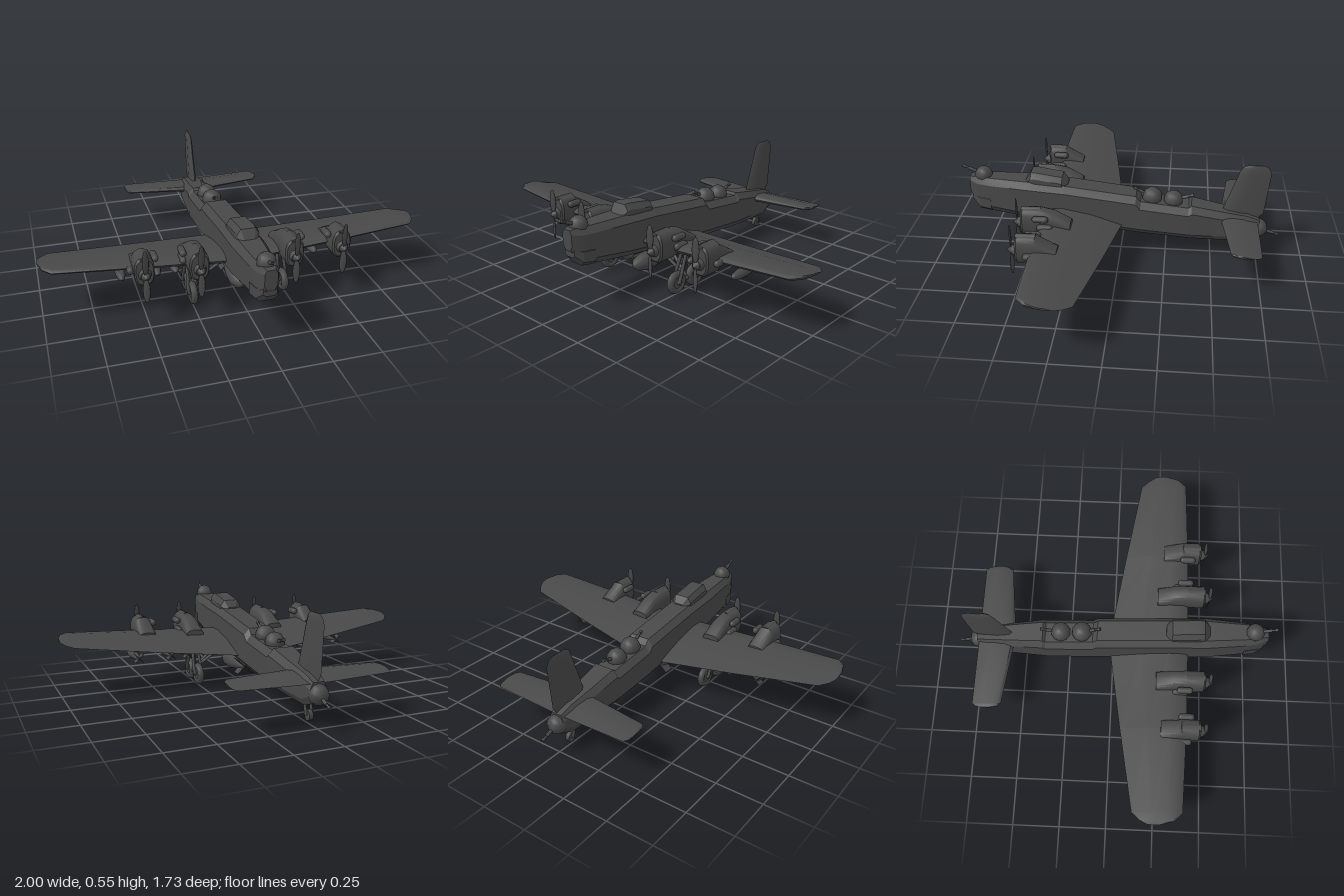
import * as THREE from 'three';
import { toCreasedNormals } from 'three/addons/utils/BufferGeometryUtils.js';

const paint = new THREE.MeshStandardMaterial({ color: 0x484848 });

export function createModel() {
  const model = new THREE.Group();

  function add(name, geometry, x = 0, y = 0, z = 0, parent = model) {
    const mesh = new THREE.Mesh(geometry, paint);
    mesh.name = name;
    mesh.position.set(x, y, z);
    parent.add(mesh);
    return mesh;
  }

  function addGroup(name, x = 0, y = 0, z = 0) {
    const group = new THREE.Group();
    group.name = name;
    group.position.set(x, y, z);
    model.add(group);
    return group;
  }

  // Skin through closed rings of equal length, capped at both ends
  function loft(rings, crease) {
    const n = rings[0].length, index = [];
    for (let r = 0; r < rings.length - 1; r++) {
      for (let i = 0; i < n; i++) {
        const a = r * n + i, b = r * n + (i + 1) % n;
        index.push(a, b, b + n, a, b + n, a + n);
      }
    }
    const last = (rings.length - 1) * n;
    for (let i = 1; i < n - 1; i++) {
      index.push(0, i + 1, i, last, last + i, last + i + 1);
    }
    const g = new THREE.BufferGeometry();
    g.setAttribute('position', new THREE.Float32BufferAttribute(rings.flat(2), 3));
    g.setIndex(index);
    return toCreasedNormals(g, crease);
  }

  // Chamfered cross-section facing +z
  function bodyRing([z, w, top, bottom, c = 0.035]) {
    const k = w * 0.65;
    return [[w, bottom + c, z], [w, top - c, z], [k, top, z], [-k, top, z],
      [-w, top - c, z], [-w, bottom + c, z], [-k, bottom, z], [k, bottom, z]];
  }
  const body = (sections) => loft(sections.map(bodyRing), 0.3);

  // Rounded cross-section facing +z, for the engine nacelles
  function roundRing([z, w, top, bottom]) {
    const soft = (v) => Math.sign(v) * Math.abs(v) ** 0.75;
    return Array.from({ length: 16 }, (_, i) => {
      const a = (i + 0.5) / 16 * Math.PI * 2;
      return [w * soft(Math.cos(a)), (top + bottom) / 2 + (top - bottom) / 2 * soft(Math.sin(a)), z];
    });
  }

  // Aerofoil cross-section facing +x
  function foilRing([x, front, back, yFront, yBack, t]) {
    const at = (f, h) => [x, THREE.MathUtils.lerp(yBack, yFront, f) + h * t, THREE.MathUtils.lerp(back, front, f)];
    return [at(0, 0), at(0.4, 0.4), at(0.75, 0.5), at(0.93, 0.33), at(1, 0),
      at(0.93, -0.33), at(0.75, -0.5), at(0.4, -0.4)];
  }
  function foil(half) {
    const other = half.map(([x, ...rest]) => [-x, ...rest]).reverse();
    return loft([...other, ...half].map(foilRing), 0.6);
  }

  // Round bar between two points
  function rod(name, a, b, r, parent = model) {
    const p = new THREE.Vector3(...a), q = new THREE.Vector3(...b);
    const d = q.clone().sub(p);
    const mesh = add(name, new THREE.CylinderGeometry(r, r, d.length(), 8), 0, 0, 0, parent);
    mesh.position.copy(p).addScaledVector(d, 0.5);
    mesh.quaternion.setFromUnitVectors(new THREE.Vector3(0, 1, 0), d.normalize());
  }

  // Fuselage with a sunken turret deck, chin window and canopy
  add('fuselage', body([
    [-0.755, 0.045, 0.23, 0.13], [-0.69, 0.058, 0.258, 0.104], [-0.55, 0.07, 0.283, 0.108],
    [-0.385, 0.083, 0.315, 0.115], [-0.37, 0.085, 0.303, 0.117], [-0.11, 0.085, 0.33, 0.137],
    [-0.085, 0.085, 0.36, 0.14], [0.3, 0.085, 0.405, 0.18], [0.5, 0.085, 0.42, 0.205],
    [0.7, 0.066, 0.427, 0.23], [0.775, 0.054, 0.43, 0.245], [0.825, 0.032, 0.425, 0.325, 0.02],
  ]));
  add('chinWindow', body([[0.71, 0.067, 0.328, 0.23, 0.02], [0.775, 0.056, 0.333, 0.238, 0.02],
    [0.815, 0.034, 0.335, 0.285, 0.012]]));
  add('canopy', body([[0.285, 0.035, 0.41, 0.37, 0.015], [0.315, 0.06, 0.448, 0.37, 0.03],
    [0.46, 0.06, 0.47, 0.37, 0.03], [0.485, 0.057, 0.467, 0.37, 0.03], [0.515, 0.04, 0.42, 0.37, 0.015]]));

  // Wing and tailplane
  add('wing', foil([
    [0.06, 0.412, -0.015, 0.26, 0.195, 0.075], [0.5, 0.405, 0.055, 0.288, 0.238, 0.055],
    [0.94, 0.388, 0.13, 0.314, 0.287, 0.038], [0.98, 0.345, 0.175, 0.315, 0.295, 0.026],
    [1, 0.275, 0.215, 0.314, 0.306, 0.01],
  ]));
  add('tailplane', foil([
    [0.04, -0.545, -0.745, 0.235, 0.22, 0.045], [0.395, -0.588, -0.744, 0.24, 0.23, 0.025],
    [0.41, -0.61, -0.725, 0.24, 0.232, 0.018], [0.416, -0.64, -0.695, 0.24, 0.236, 0.008],
  ]));

  // Fin, stacked upward from sections: height, front, back, half thickness
  const finRing = ([y, front, back, t]) => [[0, y, front], [t * 0.8, y, front - 0.02],
    [t, y, front * 0.6 + back * 0.4], [0, y, back],
    [-t, y, front * 0.6 + back * 0.4], [-t * 0.8, y, front - 0.02]];
  add('fin', loft([[0.225, -0.535, -0.745, 0.016], [0.265, -0.55, -0.775, 0.016], [0.5, -0.628, -0.797, 0.012],
    [0.533, -0.642, -0.782, 0.009], [0.547, -0.675, -0.755, 0.003]].map(finRing), 0.6));

  // Gun turrets: dome at (y, z), gun ending at the given (y, z)
  function turret(name, y, z, r, gunY, gunZ) {
    const g = addGroup(name);
    const along = (f) => [0, THREE.MathUtils.lerp(y, gunY, f), THREE.MathUtils.lerp(z, gunZ, f)];
    add('turretDome', new THREE.SphereGeometry(r, 10, 8), 0, y, z, g);
    rod('gunBarrel', along(0), along(1), 0.006, g);
    rod('gunJacket', along(0), along(0.72), 0.009, g);
    rod('gunMuzzle', along(0.88), along(1), 0.009, g);
  }
  turret('noseTurret', 0.43, 0.752, 0.048, 0.48, 0.865);
  turret('forwardDorsalTurret', 0.335, -0.17, 0.055, 0.387, -0.07);
  turret('rearDorsalTurret', 0.322, -0.285, 0.053, 0.355, -0.395);
  turret('tailTurret', 0.17, -0.752, 0.052, 0.132, -0.862);

  // Bomb with crossed tail fins; length runs along z
  function bomb(name, x, y, z, r, length, hangerTop) {
    const g = addGroup(name, x, y, z);
    const profile = [[0, -0.5], [0.35, -0.48], [0.75, -0.2], [1, 0.05], [1, 0.25], [0.7, 0.42], [0.3, 0.49], [0, 0.5]]
      .map(([a, b]) => new THREE.Vector2(a * r, b * length));
    add('bombBody', new THREE.LatheGeometry(profile, 12).rotateX(Math.PI / 2), 0, 0, 0, g);
    for (const turn of [Math.PI / 4, -Math.PI / 4]) {
      add('bombFin', new THREE.BoxGeometry(r * 2.5, 0.004, length * 0.2), 0, 0, -length * 0.43, g).rotation.z = turn;
    }
    add('bombHanger', new THREE.BoxGeometry(r * 0.4, hangerTop - y, length * 0.3), 0, (hangerTop - y) / 2, 0, g);
  }
  bomb('bellyBomb', 0, 0.1, 0.255, 0.048, 0.29, 0.19);

  // Engine with cowling, spinner, two-bladed propeller and side pods
  function engine(x, back, front, pods, side) {
    const g = addGroup('engine', x * side);
    add('nacelle', loft([[back, 0.05, 0.305, 0.25], [back + 0.09, 0.05, 0.36, 0.235], [front - 0.1, 0.05, 0.376, 0.222],
      [front - 0.01, 0.05, 0.375, 0.222], [front, 0.043, 0.365, 0.232]].map(roundRing), 0.6), 0, 0, 0, g);
    add('gearbox', new THREE.CylinderGeometry(0.026, 0.034, 0.025, 12).rotateX(Math.PI / 2), 0, 0.287, front + 0.008, g);
    add('spinner', new THREE.ConeGeometry(0.024, 0.03, 12).rotateX(Math.PI / 2), 0, 0.287, front + 0.033, g);
    for (const s of [1, -1]) {
      const blade = add('propellerBlade', new THREE.SphereGeometry(1, 10, 8).scale(0.019, 0.066, 0.006),
        0, 0.287 + s * 0.076, front + 0.025, g);
      blade.rotation.y = s * 0.35;
    }
    add('airIntake', new THREE.CylinderGeometry(0.022, 0.022, 0.1, 10).rotateX(Math.PI / 2), 0, 0.358, front - 0.052, g);
    for (const [dx, y, z] of pods) {
      add('sidePod', new THREE.CapsuleGeometry(0.018, 0.05, 4, 10).rotateX(Math.PI / 2), dx * side, y, z, g);
    }
  }

  // Main gear: two wheels in line, V struts and braces to the fuselage
  function mainGear(side) {
    const g = addGroup('mainGear');
    const x = 0.245 * side;
    for (const z of [0.34, 0.2]) {
      add('wheelHub', new THREE.CylinderGeometry(0.044, 0.044, 0.026, 16).rotateZ(Math.PI / 2), x, 0.062, z, g);
      add('tyre', new THREE.TorusGeometry(0.043, 0.019, 8, 18).rotateY(Math.PI / 2), x, 0.062, z, g);
      rod('axle', [x - 0.028, 0.062, z], [x + 0.028, 0.062, z], 0.009, g);
      for (const dx of [-0.022, 0.022]) {
        rod('legStrut', [x + dx, 0.062, z], [x + dx * 0.6, 0.24, 0.27], 0.009, g);
      }
      rod('sideBrace', [x, 0.075, 0.27], [0.07 * side, 0.215, 0.27 + (z - 0.27) * 0.6], 0.009, g);
    }
    rod('bogieBeam', [x, 0.062, 0.2], [x, 0.062, 0.34], 0.012, g);
  }

  for (const side of [1, -1]) {
    engine(0.245, 0.24, 0.5, [[0.064, 0.342, 0.39], [0.058, 0.29, 0.37]], side);
    engine(0.51, 0.27, 0.475, [[-0.06, 0.34, 0.4], [0.06, 0.285, 0.39]], side);
    mainGear(side);
    for (const x of [0.328, 0.422, 0.603]) bomb('wingBomb', x * side, 0.2, 0.235, 0.025, 0.22, 0.262);
  }

  // Tail wheel
  add('tailWheel', new THREE.CylinderGeometry(0.027, 0.027, 0.022, 14).rotateZ(Math.PI / 2), 0, 0.045, -0.665);
  for (const x of [-0.016, 0.016]) rod('tailWheelFork', [x, 0.045, -0.665], [x, 0.12, -0.645], 0.008);

  return model;
}
